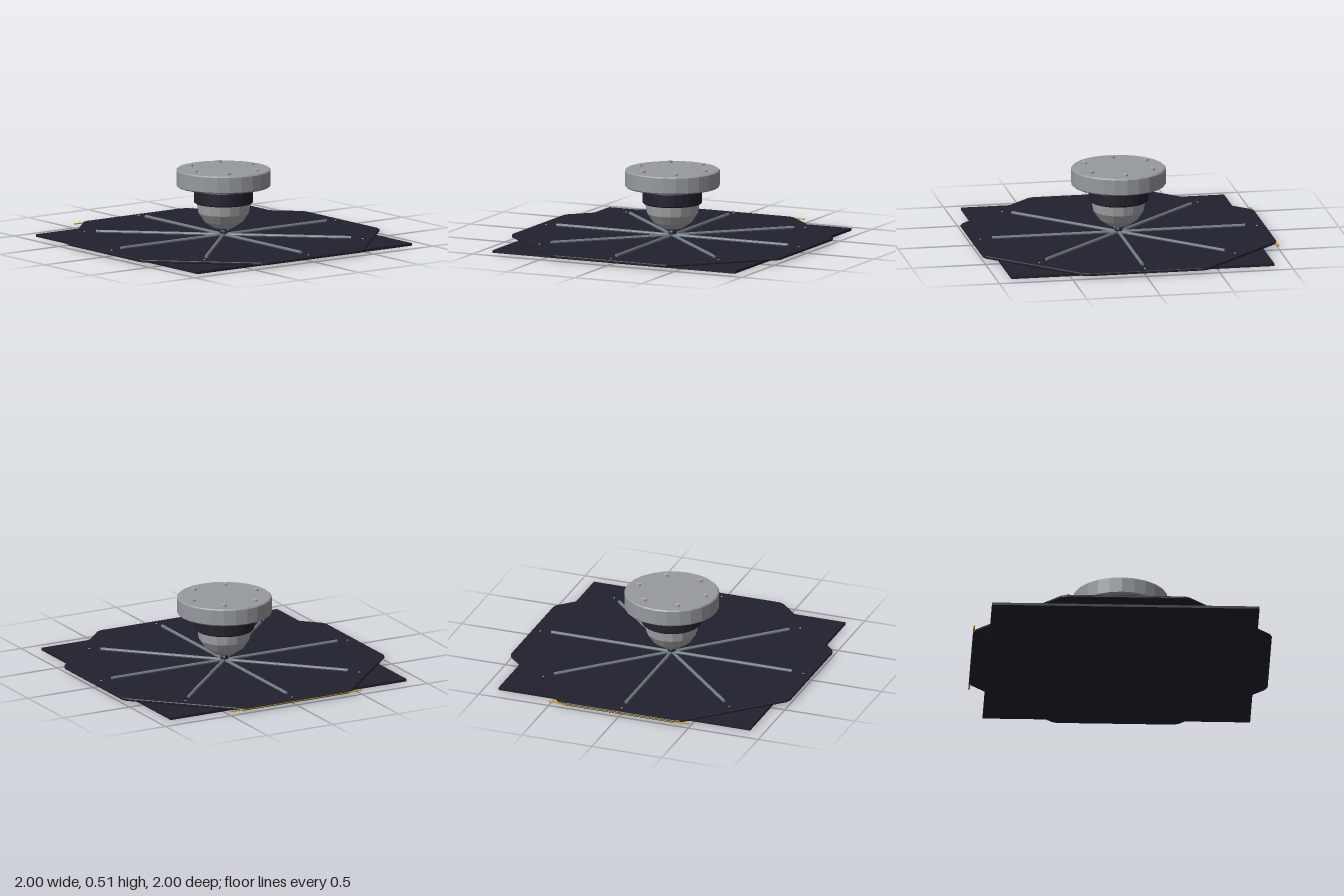
import * as THREE from 'three';

const mat = (name, color, extra = {}) => {
  const m = new THREE.MeshStandardMaterial({ color, flatShading: true, ...extra });
  m.name = name;
  return m;
};

export function createModel() {
  const dark = mat('darkPanel', 0x22222e);
  const steel = mat('steelGrey', 0x969a9e);
  const pale = mat('paleGrey', 0xaaaaae);
  const slate = mat('slateGrey', 0x727c84);
  const gold = mat('gold', 0xd09a20);

  const model = new THREE.Group();
  const add = (name, geo, material, x = 0, y = 0, z = 0, parent = model) => {
    const mesh = new THREE.Mesh(geo, material);
    mesh.name = name;
    mesh.position.set(x, y, z);
    parent.add(mesh);
    return mesh;
  };
  // Turned disc with a small chamfer on both rims
  const disc = (r, y0, y1, c, sides) => new THREE.LatheGeometry([
    [0, y0], [r - c, y0], [r, y0 + c], [r, y1 - c], [r - c, y1], [0, y1],
  ].map(([x, y]) => new THREE.Vector2(x, y)), sides);

  // Square base sheet
  add('baseSheet', new THREE.BoxGeometry(1.8, 0.017, 1.79), dark, 0, 0.0085, 0.005);

  // Octagonal panel with clipped corner points and a thin bevel
  const outline = [];
  for (let i = 0; i < 8; i++) {
    const a = Math.PI / 8 + i * Math.PI / 4;
    for (const d of [-0.017, 0.017]) {
      outline.push(new THREE.Vector2(Math.cos(a + d) * 1.07, Math.sin(a + d) * 1.07));
    }
  }
  const panel = new THREE.ExtrudeGeometry(new THREE.Shape(outline), {
    depth: 0.01, bevelThickness: 0.004, bevelSize: 0.004, bevelSegments: 1,
  });
  panel.rotateX(-Math.PI / 2);
  add('octagonPanel', panel, dark, 0, 0.024, 0);

  // Edge strip along the back
  add('backStrip', new THREE.BoxGeometry(1, 0.006, 0.012), gold, 0, 0.028, -0.994);

  // Eight spokes with a pin beyond each end
  const rib = new THREE.CylinderGeometry(0.011, 0.011, 0.86, 8);
  rib.rotateZ(Math.PI / 2);
  const pin = new THREE.SphereGeometry(0.006, 8, 6);
  for (let i = 0; i < 8; i++) {
    const spoke = new THREE.Group();
    spoke.name = 'spoke' + (i + 1);
    spoke.rotation.y = i * Math.PI / 4;
    add('rib', rib, slate, 0.43, 0.045, 0, spoke);
    add('pin', pin, pale, 0.94, 0.038, 0, spoke);
    model.add(spoke);
  }

  // Pivot under the dome
  add('pivotPost', new THREE.CylinderGeometry(0.02, 0.02, 0.05, 10), dark, 0, 0.06, 0);
  add('pivotBall', new THREE.SphereGeometry(0.028, 10, 8), dark, 0, 0.058, 0);

  // Faceted dome, collar, neck and mounting disc
  add('dome', new THREE.SphereGeometry(0.184, 16, 4, 0, Math.PI * 2, Math.PI / 2, Math.PI / 2),
    pale, 0, 0.265, 0);
  add('collar', disc(0.2, 0.262, 0.357, 0.008, 24), dark);
  add('neck', new THREE.CylinderGeometry(0.135, 0.135, 0.03, 20), steel, 0, 0.367, 0);
  add('mountingDisc', disc(0.318, 0.375, 0.492, 0.008, 24), steel);

  // Ring of six bolts
  const bolt = new THREE.CylinderGeometry(0.018, 0.018, 0.016, 10);
  for (let i = 0; i < 6; i++) {
    const a = i * Math.PI / 3;
    add('bolt' + (i + 1), bolt, pale, Math.cos(a) * 0.24, 0.498, Math.sin(a) * 0.24);
  }
  return model;
}
